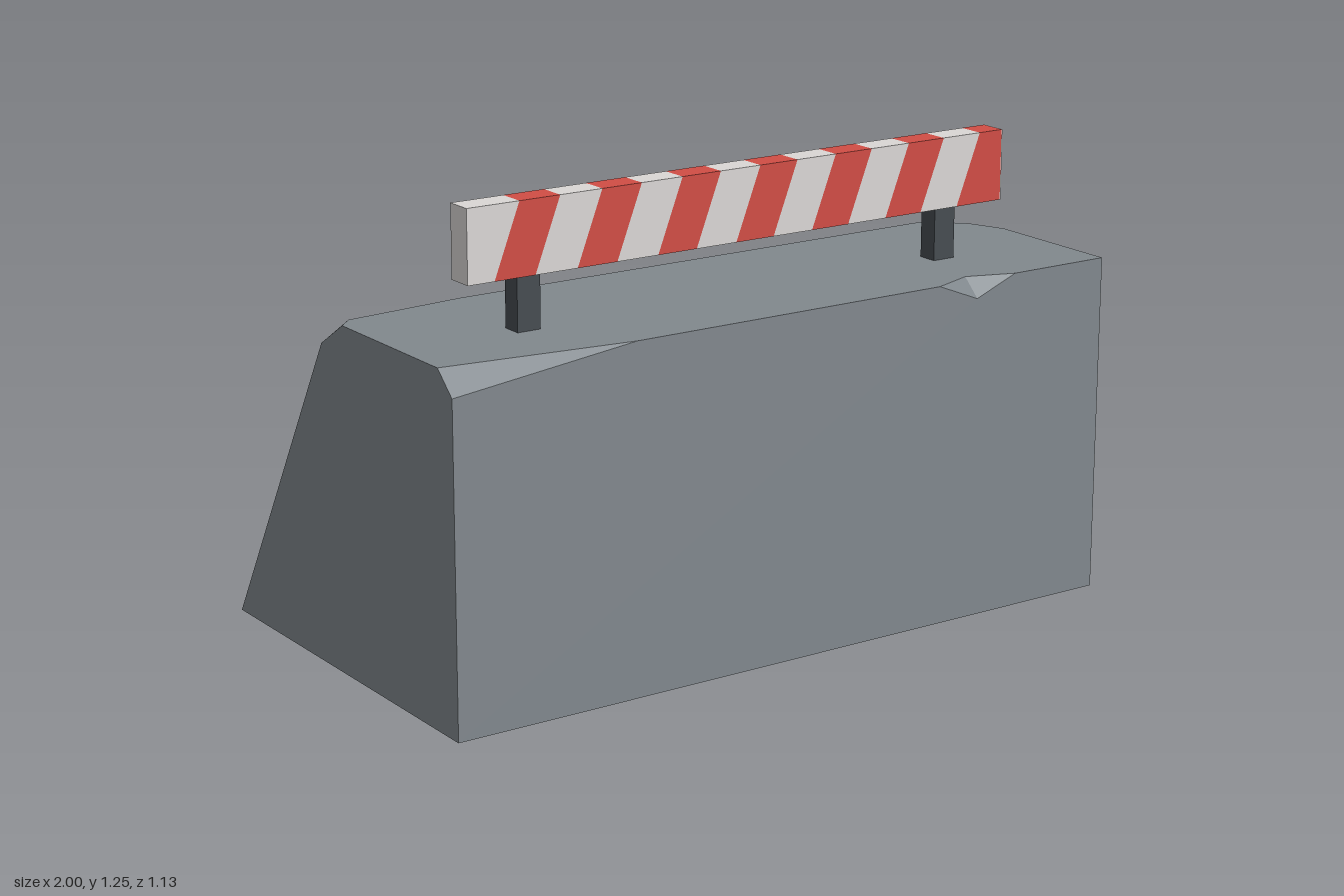
import * as THREE from 'three';

const mat = (name, color) => {
  const m = new THREE.MeshStandardMaterial({ color });
  m.name = name;
  return m;
};

// Flat-faced solid from named corners and polygon outlines (concave outlines allowed).
function facetedGeometry(points, faces) {
  const positions = [];
  for (const face of faces) {
    const p = face.split(' ').map((key) => new THREE.Vector3(...points[key]));
    const normal = new THREE.Vector3();
    p.forEach((a, i) => normal.add(new THREE.Vector3().crossVectors(a, p[(i + 1) % p.length])));
    normal.normalize();
    const u = p[1].clone().sub(p[0]);
    u.addScaledVector(normal, -u.dot(normal)).normalize();
    const v = new THREE.Vector3().crossVectors(normal, u);
    const flat = p.map((a) => new THREE.Vector2(a.dot(u), a.dot(v)));
    for (const tri of THREE.ShapeUtils.triangulateShape(flat, [])) {
      tri.forEach((i) => positions.push(p[i].x, p[i].y, p[i].z));
    }
  }
  const geo = new THREE.BufferGeometry();
  geo.setAttribute('position', new THREE.Float32BufferAttribute(positions, 3));
  geo.computeVertexNormals();
  return geo;
}

export function createModel() {
  const concrete = mat('concrete grey', 0x81888d);
  const steel = mat('dark steel', 0x464c51);
  const white = mat('board white', 0xdad7d5);
  const red = mat('stripe red', 0xd14d45);
  const model = new THREE.Group();
  model.name = 'roadBarrier';

  const add = (name, geo, material, parent = model) => {
    const mesh = new THREE.Mesh(geo, material);
    mesh.name = name;
    parent.add(mesh);
    return mesh;
  };

  // Concrete block: upright front, sloping back, chipped upper edges
  const H = 0.92, Z = 0.565;
  const corners = {
    a: [-1, 0, Z], b: [1, 0, Z], c: [1, 0, -Z], d: [-1, 0, -Z], B: [1, H, Z],
    // long chip on the front edge
    L1: [-0.48, H, Z], L2: [-1, 0.86, Z], L3: [-1, H, 0.5],
    // small notch on the front edge
    N1: [0.45, H, Z], N2: [0.7, H, Z], N3: [0.575, 0.87, Z], N4: [0.57, H, 0.52],
    // broken ridge corner at +x
    S: [0.87, H, -0.03], T: [0.96, H, 0.06], P: [1, H, 0.16], Q: [1, 0.89, 0.045], R: [1, 0.806, -0.096],
    // broken ridge corner at -x
    K: [-0.62, H, -0.03], U: [-0.96, H, 0], V: [-0.96, 0.886, -0.05], W: [-1, H, 0.04], X: [-1, 0.851, -0.07],
  };
  add('concreteBlock', facetedGeometry(corners, [
    'a b B N2 N3 N1 L1 L2',
    'B P T S K U W L3 L1 N1 N4 N2',
    'c d X V K S R',
    'b c R Q P B',
    'd a L2 L3 W X',
    'a d c b',
    'L1 L3 L2', 'N1 N3 N4', 'N2 N4 N3',
    'S T Q R', 'T P Q', 'K V U', 'U V X W',
  ]), concrete);

  // Posts
  for (const x of [-0.648, 0.643]) {
    const post = new THREE.BoxGeometry(0.066, 0.16, 0.056);
    add('post', post, steel).position.set(x, 0.98, 0.3125);
  }

  // Striped board, built from slanted blocks right through its thickness
  const board = new THREE.Group();
  board.name = 'stripedBoard';
  model.add(board);
  const bottom = 1.06, top = 1.25, half = 0.825, depth = 0.075, cap = 0.003;
  const block = (name, b0, b1, t0, t1, material) => {
    const shape = new THREE.Shape([
      new THREE.Vector2(b0, bottom), new THREE.Vector2(b1, bottom),
      new THREE.Vector2(t1, top), new THREE.Vector2(t0, top),
    ]);
    const geo = new THREE.ExtrudeGeometry(shape, { depth, bevelEnabled: false });
    add(name, geo, material, board).position.z = 0.275;
  };
  const pitch = 0.2375, width = 0.116, lean = 0.073, end = half - cap;
  let b = -half, t = -half;
  for (let i = 0; i < 7; i++) {
    const start = -0.75 + i * pitch;
    block('whiteStripe', b, start, t, start + lean, white);
    b = i === 6 ? end : start + width;
    t = i === 6 ? end : b + lean;
    block('redStripe', start, b, start + lean, t, red);
  }
  // White end face
  block('endCap', end, half, end, half, white);

  return model;
}
